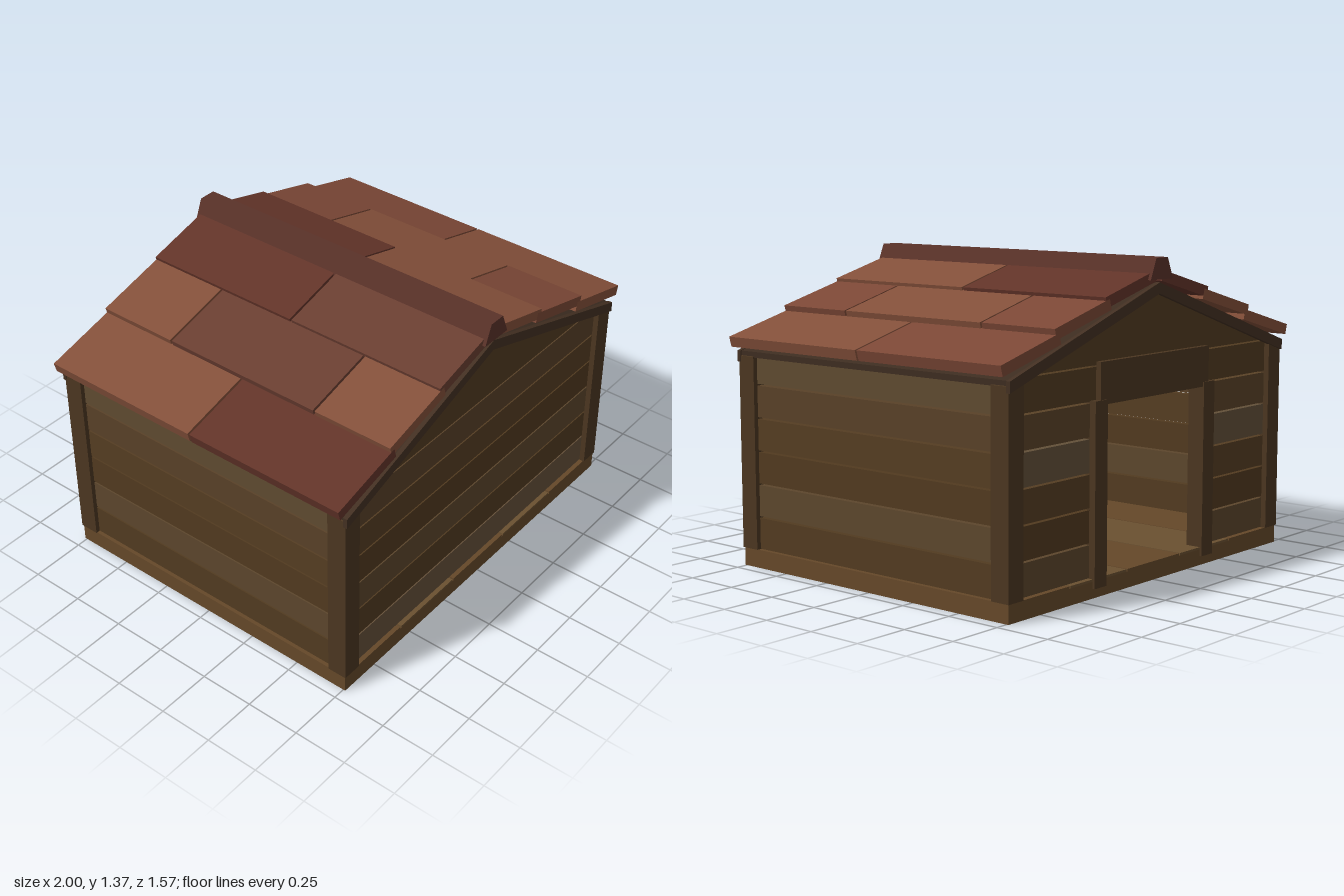
import * as THREE from 'three';

const WOOD = [0x5a4227, 0x523b20, 0x5c462c, 0x513a1f, 0x553d22, 0x594128];
const TILES = [0x84503a, 0x6a3e31, 0x7c4836, 0x633429];
const SLOPE = 0.332; // pitch of the roof deck
const roofY = (x, apex) => apex - SLOPE * Math.abs(x);

export function createModel() {
  const root = new THREE.Group();
  root.name = 'woodenKennel';
  const mats = {};
  const mat = (color) => (mats[color] ??= new THREE.MeshStandardMaterial({ color, flatShading: true }));

  const group = (name) => {
    const g = new THREE.Group();
    g.name = name;
    root.add(g);
    return g;
  };
  const add = (parent, name, geo, color) => {
    const m = new THREE.Mesh(geo, mat(color));
    m.name = name;
    parent.add(m);
    return m;
  };
  // Box given by its minimum and maximum on each axis
  const box = (parent, name, color, x0, x1, y0, y1, z0, z1) => {
    const m = add(parent, name, new THREE.BoxGeometry(x1 - x0, y1 - y0, z1 - z0), color);
    m.position.set((x0 + x1) / 2, (y0 + y1) / 2, (z0 + z1) / 2);
    return m;
  };
  // Outline in x and y, extruded from z0 to z1
  const prism = (parent, name, color, pts, z0, z1) => {
    const shape = new THREE.Shape(pts.map(([x, y]) => new THREE.Vector2(x, y)));
    const geo = new THREE.ExtrudeGeometry(shape, { depth: z1 - z0, bevelEnabled: false });
    geo.translate(0, 0, z0);
    return add(parent, name, geo, color);
  };

  // Base slab with five floor boards along z
  const floor = group('floor');
  box(floor, 'baseSlab', 0x654829, -0.945, 0.945, 0, 0.07, -0.76, 0.76);
  for (let i = 0; i < 5; i++) {
    const x = -0.945 + i * 0.378;
    box(floor, 'floorBoard', i % 2 ? 0x6a5030 : 0x654829, x + (i ? 0.004 : 0), x + (i < 4 ? 0.374 : 0.378), 0.07, 0.08, -0.76, 0.76);
  }

  // Horizontal wall planks with narrow gaps; the back wall leaves a doorway
  const front = group('frontWall'), back = group('backWall'), sides = group('sideWalls');
  for (let i = 0; i < 6; i++) {
    const y0 = 0.082 + i * 0.145;
    const y1 = y0 + 0.137;
    box(front, 'frontPlank', i === 0 ? 0x655039 : WOOD[i], -0.88, 0.88, y0, y1, 0.7, 0.74);
    const color = i === 3 ? 0x635039 : WOOD[(i + 2) % 6];
    if (i < 5) {
      box(back, 'backPlank', color, -0.88, -0.36, y0, y1, -0.74, -0.7);
      box(back, 'backPlank', color, 0.36, 0.88, y0, y1, -0.74, -0.7);
    } else {
      box(back, 'backPlank', color, -0.88, 0.88, y0, y1, -0.74, -0.7);
    }
    for (const s of [-1, 1]) {
      const x = s * 0.91;
      box(sides, 'sidePlank', i === 5 ? 0x5f4a30 : WOOD[(i + 1) % 6], x - 0.02, x + 0.02, y0, i === 5 ? 0.928 : y1, -0.7, 0.7);
    }
  }

  // Triangular gable boards
  const gable = [[-0.85, 0.951], [0.85, 0.951], [0, 1.233]];
  prism(front, 'frontGable', WOOD[1], gable, 0.7, 0.74);
  prism(back, 'backGable', WOOD[1], gable, -0.74, -0.7);

  // Corner posts, tops cut to the roof pitch
  const posts = group('cornerPosts');
  for (const s of [-1, 1]) {
    const pts = [[s * 0.86, 0.08], [s * 0.95, 0.08], [s * 0.95, roofY(0.95, 1.24)], [s * 0.86, roofY(0.86, 1.24)]];
    for (const z of [-0.765, 0.675]) prism(posts, 'cornerPost', 0x4b3620, pts, z, z + 0.09);
  }

  // Door frame
  const door = group('doorFrame');
  for (const x of [-0.42, 0.34]) box(door, 'doorPost', 0x4b3620, x, x + 0.08, 0.04, 0.81, -0.77, -0.69);
  box(door, 'doorLintel', 0x4b3620, -0.38, 0.38, 0.79, 0.965, -0.765, -0.69);

  // Roof deck and the gable trim boards at both ends
  const roof = group('roof');
  const chevron = (half, top, bottom) => [
    [-half, roofY(half, bottom)], [0, bottom], [half, roofY(half, bottom)],
    [half, roofY(half, top)], [0, top], [-half, roofY(half, top)],
  ];
  prism(roof, 'roofDeck', 0x3d2c20, chevron(0.945, 1.26, 1.235), -0.76, 0.76);
  for (const z of [-0.775, 0.755]) prism(roof, 'gableTrim', 0x433022, chevron(0.952, 1.262, 1.215), z, z + 0.02);

  // Three overlapping tile rows per slope, joints staggered
  const tilt = THREE.MathUtils.degToRad(15);
  const rows = [[1.0, 1.01], [0.68, 1.122], [0.36, 1.223]]; // upper outer corner of each row
  const joints = [[-0.77, 0, 0.77], [-0.77, -0.387, 0.387, 0.77], [-0.77, 0, 0.77]];
  const palette = { '1': ['20', '202', '30'], '-1': ['03', '010', '31'] };
  const len = 0.36, thick = 0.046;
  for (const s of [-1, 1]) {
    rows.forEach(([x, y], r) => {
      const l = r === 2 ? 0.34 : len;
      const cx = x - Math.cos(tilt) * l / 2 - Math.sin(tilt) * thick / 2;
      const cy = y + Math.sin(tilt) * l / 2 - Math.cos(tilt) * thick / 2;
      for (let j = 0; j + 1 < joints[r].length; j++) {
        const z0 = joints[r][j] + (j ? 0.005 : 0);
        const z1 = joints[r][j + 1] - (j + 2 < joints[r].length ? 0.005 : 0);
        const color = TILES[Number(palette[s][r][j])];
        const tile = add(roof, 'roofTile', new THREE.BoxGeometry(l, thick, z1 - z0), color);
        tile.position.set(s * cx, cy, (z0 + z1) / 2);
        tile.rotation.z = -s * tilt;
      }
    });
  }

  // Ridge cap
  prism(roof, 'ridgeCap', 0x5a3229, [[-0.077, 1.275], [0.077, 1.275], [0.04, 1.365], [-0.04, 1.365]], -0.785, 0.785);

  return root;
}
